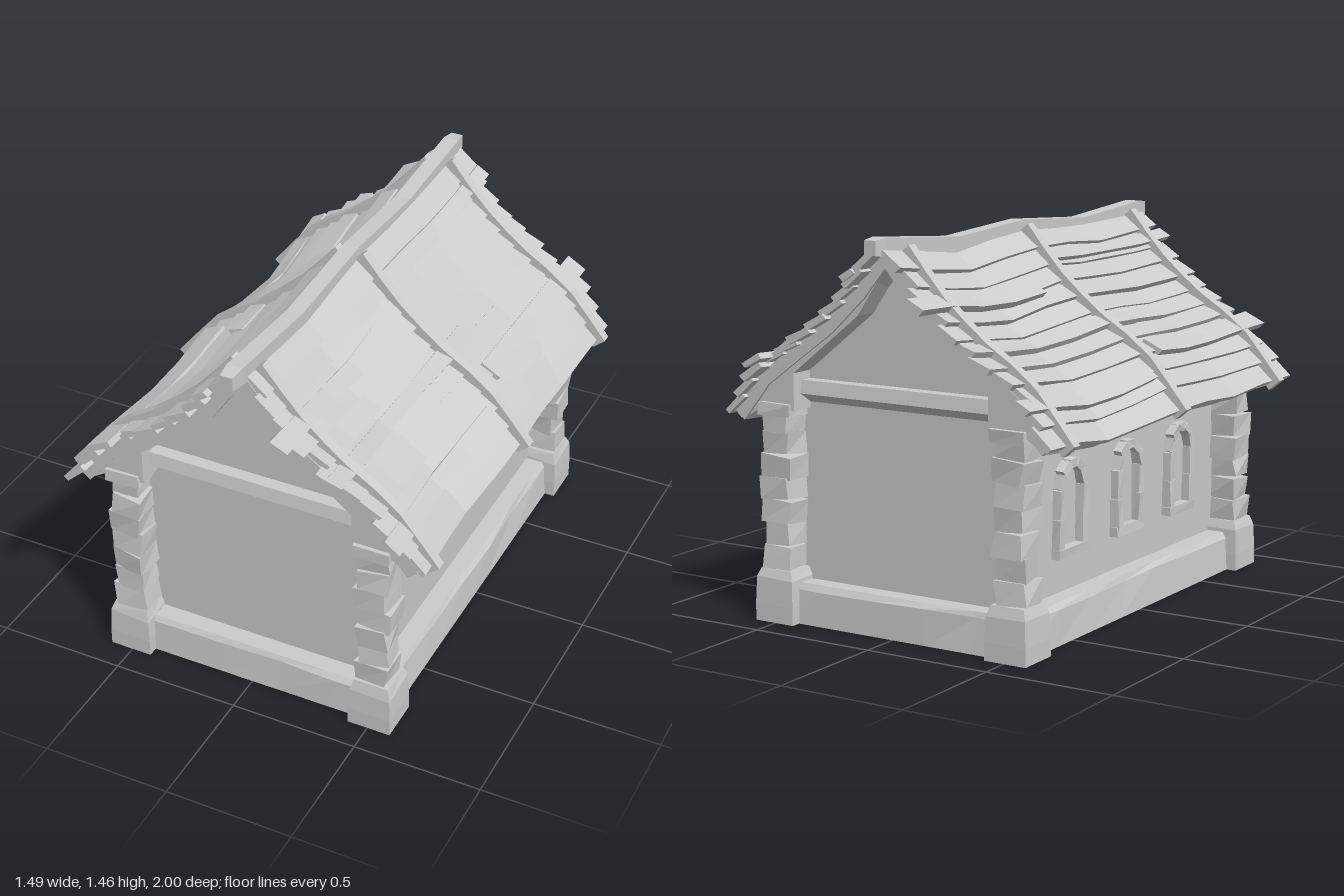
import * as THREE from 'three';

const mat = new THREE.MeshStandardMaterial({ color: 0xcccccc, flatShading: true });
const V = (x, y, z) => new THREE.Vector3(x, y, z);

let seed = 7;
const rand = () => (seed = (seed * 16807) % 2147483647) / 2147483647;
const jit = (a) => (rand() * 2 - 1) * a;

function add(parent, name, geo) {
  const m = new THREE.Mesh(geo, mat);
  m.name = name;
  parent.add(m);
  return m;
}

// Closed skin through rings of equal point count, capped at both ends
function loft(rings) {
  const n = rings[0].length, last = (rings.length - 1) * n, idx = [];
  for (let r = 0; r < rings.length - 1; r++)
    for (let i = 0; i < n; i++) {
      const a = r * n + i, b = r * n + (i + 1) % n;
      idx.push(a, b, b + n, a, b + n, a + n);
    }
  for (let i = 0; i < n / 2 - 1; i++) {
    const [a, b, c, d] = [i, i + 1, n - 2 - i, n - 1 - i];
    idx.push(a, c, b, a, d, c, last + a, last + b, last + c, last + a, last + c, last + d);
  }
  const g = new THREE.BufferGeometry().setFromPoints(rings.flat());
  g.setIndex(idx);
  const out = g.toNonIndexed();
  out.computeVertexNormals();
  return out;
}

// Box whose shared corners are moved together by a rule
function shapedBox(w, h, d, rule, sx = 1, sy = 1, sz = 1) {
  const g = new THREE.BoxGeometry(w, h, d, sx, sy, sz), p = g.attributes.position, seen = {};
  for (let i = 0; i < p.count; i++) {
    const v = V(0, 0, 0).fromBufferAttribute(p, i);
    const key = v.toArray().map((c) => Math.round(c * 1000)).join();
    const q = (seen[key] ??= rule(v.clone()));
    p.setXYZ(i, q.x, q.y, q.z);
  }
  g.computeVertexNormals();
  return g;
}
const stone = (w, h, d, a) => shapedBox(w, h, d, (v) => v.add(V(jit(a), jit(a * 0.6), jit(a))));

// Slope of the +x half of the roof, ridge to eave
const slope = new THREE.CatmullRomCurve3(
  [[0.02, 1.42], [0.18, 1.235], [0.36, 1.085], [0.54, 0.965], [0.69, 0.79]].map(([x, y]) => V(x, y, 0)));

// Sag of the roof along its length
function sag(z, depths) {
  const f = THREE.MathUtils.clamp((z + 0.9) / 0.45, 0, 3.999), i = Math.floor(f);
  return THREE.MathUtils.lerp(depths[i], depths[i + 1], f - i);
}

// Point on the roof: u down the slope, h above it, z along the ridge
function roofPoint(u, h, z) {
  const uc = Math.min(u, 1), p = slope.getPointAt(uc), t = slope.getTangentAt(uc);
  const s = sag(z, [0, 0.02, 0, 0.045, 0]);
  p.addScaledVector(t, (u - uc) * 0.95);
  return V(p.x - t.y * h - s * u, p.y + t.x * h - s, z);
}

function plank(u0, u1, z0, z1, lift) {
  const rings = [], n = Math.max(4, Math.round((z1 - z0) / 0.22));
  const skew = jit(0.008), tip = jit(0.006);
  for (let i = 0; i <= n; i++) {
    const z = z0 + (z1 - z0) * i / n, e = skew * (i / n - 0.5);
    const a = Math.max(0, u0 + e + jit(0.005)), b = u1 + e + jit(0.007), h = lift + jit(0.004);
    rings.push([
      roofPoint(a, h - 0.02, z), roofPoint(b, h - 0.004, z),
      roofPoint(b, h + 0.022 + tip, z), roofPoint(a, h + 0.004, z)]);
  }
  return loft(rings);
}

function roofHalf() {
  const g = new THREE.Group();
  // Underlay
  const us = [0, 0.2, 0.4, 0.6, 0.8, 1], zs = [-0.87, -0.45, 0, 0.45, 0.87];
  add(g, 'roofUnderlay', loft(zs.map((z) => [
    ...us.map((u) => roofPoint(u, -0.06, z)),
    ...[...us].reverse().map((u) => roofPoint(u, -0.008, z))])));
  // Overlapping planks
  const count = 11;
  for (let i = 0; i < count; i++)
    add(g, 'roofPlank', plank(i / count, Math.min((i + 1.2) / count, 1.02),
      -0.9 - jit(0.035), 0.9 + jit(0.035), 0));
  // Loose repair planks
  [[0.24, 0.32, 0.18, 1], [0.68, 0.77, -0.96, -0.1], [0.5, 0.57, -0.2, 0.93], [0.8, 0.87, 0.05, 0.95],
    [0.12, 0.18, -0.94, 0.0]].forEach(([a, b, c, d]) => add(g, 'repairPlank', plank(a, b, c, d, 0.017)));
  // Battens strapping the planks down
  for (const z of [-0.8, 0, 0.79]) {
    const rings = [];
    for (let i = 0; i <= 8; i++) {
      const u = 0.01 + i / 8 * 1.03, w = 0.02;
      rings.push([[-0.02, -w], [0.042, -w], [0.042, w], [-0.02, w]].map(([h, dz]) => {
        const p = roofPoint(u, h, z);
        p.z += dz;
        return p;
      }));
    }
    add(g, 'roofBatten', loft(rings));
  }
  return g;
}

function cornerPost() {
  const g = new THREE.Group();
  // Foot block with a chamfered top
  add(g, 'postFoot', shapedBox(0.17, 0.2, 0.17, (v) => {
    const k = v.y > 0.09 ? 0.8 : v.y > 0 ? 0.95 : 1;
    return V(v.x * k, v.y > 0 && v.y < 0.09 ? 0.06 + jit(0.01) : v.y, v.z * k);
  }, 1, 3, 1)).position.y = 0.1;
  // Stacked rough stones
  const n = 7, h = 0.6 / n;
  for (let i = 0; i < n; i++) {
    const w = 0.118 + jit(0.012);
    const s = add(g, 'postStone', stone(w, h, w, 0.009));
    s.position.set(jit(0.005), 0.2 + h * (i + 0.5), jit(0.005));
    s.rotation.set(jit(0.07), jit(0.08), jit(0.09));
  }
  add(g, 'postCap', stone(0.14, 0.05, 0.14, 0.005)).position.y = 0.8;
  return g;
}

function windowFrame() {
  const g = new THREE.Group();
  const block = (x, y, w, h, r) => {
    const b = add(g, 'windowStone', stone(w, h, 0.05, 0.004));
    b.position.set(x, y, 0);
    b.rotation.z = r;
  };
  for (const s of [-1, 1]) {
    block(s * 0.08, -0.1, 0.034, 0.12, 0);
    block(s * 0.08, 0.015, 0.03, 0.11, 0);
  }
  block(0, -0.165, 0.2, 0.035, 0);
  for (let i = 0; i < 5; i++) {
    const a = (i + 0.5) / 5 * Math.PI;
    block(Math.cos(a) * 0.08, 0.07 + Math.sin(a) * 0.09, 0.032, 0.056, a);
  }
  return g;
}

// Extrudes an outline given for x >= 0, bottom centre to top centre, mirrored
function mirroredExtrude(half, z0, z1) {
  const pts = [...half, ...[...half].reverse().map(([x, y]) => [-x, y])];
  const shape = new THREE.Shape(pts.map(([x, y]) => new THREE.Vector2(x, y)));
  return new THREE.ExtrudeGeometry(shape, { depth: z1 - z0, bevelEnabled: false }).translate(0, 0, z0);
}

export function createModel() {
  const model = new THREE.Group();

  // Stone plinth with a sloped, uneven rim
  add(model, 'plinth', shapedBox(1.1, 0.15, 1.7, (v) => {
    const level = v.y > 0.07 ? 2 : v.y > -0.07 ? 1 : 0;
    const inset = level === 2 ? 0.022 : level === 1 ? 0.004 + rand() * 0.012 : 0;
    const x = v.x - (Math.abs(v.x) > 0.54 ? Math.sign(v.x) * inset : jit(0.03));
    const z = v.z - (Math.abs(v.z) > 0.84 ? Math.sign(v.z) * inset : jit(0.03));
    return V(x, level === 1 ? 0.13 + jit(0.006) : level ? 0.153 : 0, z);
  }, 5, 2, 7));

  // Walls and gables in one block
  add(model, 'walls', mirroredExtrude(
    [[0.46, 0.1], [0.46, 0.92], [0.3, 1.05], [0.13, 1.2], [0.02, 1.37]], -0.76, 0.76));

  for (const turn of [0, Math.PI]) {
    const end = new THREE.Group();
    end.name = turn ? 'backGable' : 'frontGable';
    end.rotation.y = turn;
    // Rafter pair framing the gable
    const half = [[0, 1.36], [0.13, 1.17], [0.42, 0.94], [0.42, 0.8], [0.57, 0.8], [0.655, 0.75],
      [0.67, 0.79], [0.52, 0.945], [0.35, 1.065], [0.17, 1.21], [0, 1.4]];
    const side = new THREE.Shape(half.map(([x, y]) => new THREE.Vector2(x, y)));
    const flip = new THREE.Shape(half.map(([x, y]) => new THREE.Vector2(-x, y)));
    add(end, 'rafters', new THREE.ExtrudeGeometry([side, flip], { depth: 0.11, bevelEnabled: false }))
      .position.z = 0.75;
    // Tie beam with a bevelled underside
    add(end, 'tieBeam', loft([-0.45, 0.45].map((x) => [
      V(x, 0.81, 0.74), V(x, 0.91, 0.74), V(x, 0.91, 0.81), V(x, 0.86, 0.82)])));
    model.add(end);

    const half2 = roofHalf();
    half2.name = turn ? 'rightRoof' : 'leftRoof';
    half2.rotation.y = turn;
    model.add(half2);
  }

  // Ridge beam
  const ridge = [-0.96, -0.9, -0.45, -0.2, 0, 0.2, 0.45, 0.9, 0.96].map((z) => {
    const y = 1.425 - sag(z, [0, 0.035, 0.008, 0.035, 0]), w = Math.abs(z) > 0.95 ? 0.024 : 0.031;
    return [V(-w, y - w, z), V(w, y - w, z), V(w, y + w + 0.005, z), V(-w, y + w + 0.005, z)];
  });
  add(model, 'ridgeBeam', loft(ridge));

  for (const x of [-0.505, 0.505])
    for (const z of [-0.805, 0.805]) {
      const post = cornerPost();
      post.name = 'cornerPost';
      post.position.set(x, 0, z);
      model.add(post);
    }

  // Arched windows on one long wall
  for (const z of [-0.4, 0.02, 0.43]) {
    const w = windowFrame();
    w.name = 'archedWindow';
    w.position.set(-0.47, 0.47, z);
    w.rotation.y = -Math.PI / 2;
    model.add(w);
  }
  return model;
}
